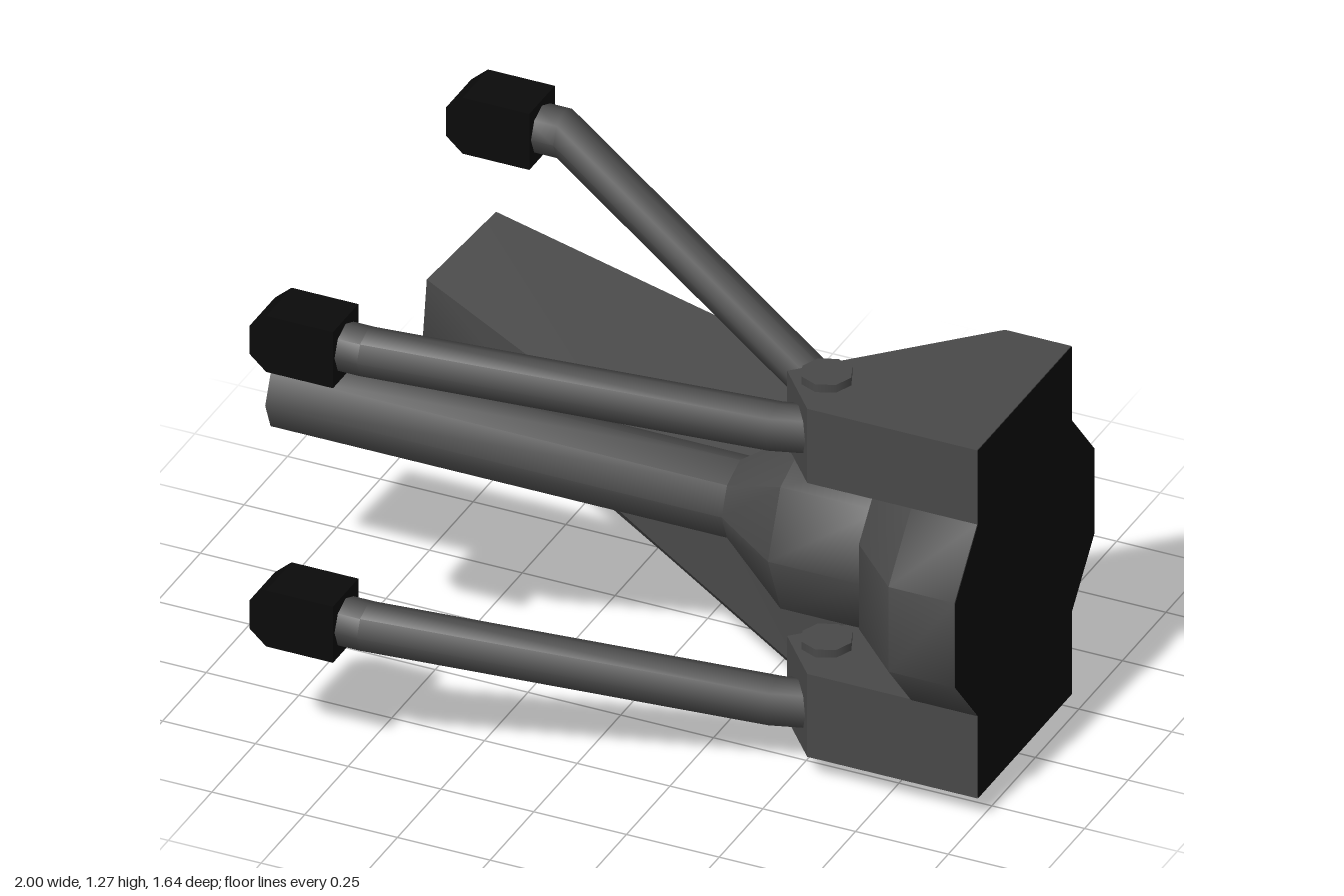
import * as THREE from 'three';
import { toCreasedNormals } from 'three/addons/utils/BufferGeometryUtils.js';

const bodyMat = new THREE.MeshStandardMaterial({ color: 0x484848 });
const darkMat = new THREE.MeshStandardMaterial({ color: 0x0a0a0a });

function add(group, name, geometry, material = bodyMat) {
  const mesh = new THREE.Mesh(geometry, material);
  mesh.name = name;
  group.add(mesh);
  return mesh;
}

// Skin a closed solid through rings of [x, y, z] points, creased above the given angle
function loft(rings, crease) {
  const n = rings[0].length, last = (rings.length - 1) * n, index = [];
  for (let i = 0; i < rings.length - 1; i++) {
    for (let j = 0; j < n; j++) {
      const a = i * n + j, b = i * n + (j + 1) % n;
      index.push(a, b, b + n, a, b + n, a + n);
    }
  }
  for (let j = 1; j < n - 1; j++) {
    index.push(0, j + 1, j, last, last + j, last + j + 1);
  }
  const g = new THREE.BufferGeometry();
  g.setAttribute('position', new THREE.Float32BufferAttribute(rings.flat(2), 3));
  g.setIndex(index);
  return toCreasedNormals(g, crease);
}

// Bent octagonal rod with a dark chamfered tip
function arm(name, path) {
  const group = new THREE.Group();
  group.name = name;
  const r = 0.064;
  const rings = path.map(([x, y, z]) => Array.from({ length: 8 }, (_, k) => {
    const t = k * Math.PI / 4;
    return [x, y + r * Math.sin(t), z - r * Math.cos(t)];
  }));
  add(group, name + 'Rod', loft(rings, 0.9));

  const [, y, z] = path[0];
  const s = new THREE.Shape([
    [-0.51, -0.08], [-0.51, 0.08], [-0.69, 0.08], [-0.735, 0.04], [-0.735, -0.04], [-0.69, -0.08],
  ].map(([px, py]) => new THREE.Vector2(px, py)));
  const tip = new THREE.ExtrudeGeometry(s, { depth: 0.146, bevelEnabled: false });
  tip.translate(0, y, z - 0.073);
  add(group, name + 'Tip', tip, darkMat);
  return group;
}

export function createModel() {
  const model = new THREE.Group();

  // Core housing, narrower at its top and bottom
  const ring = (y, e) => [
    [0.998, y, -0.21 - e], [0.82, y, -0.21 - e], [0.67, y, -0.06 - e],
    [0.67, y, 0.18 + e], [0.82, y, 0.33 + e], [0.998, y, 0.33 + e],
  ];
  add(model, 'coreHousing',
    loft([ring(0.3, 0), ring(0.453, 0.13), ring(0.695, 0.13), ring(0.848, 0)], 0.9));

  // Upper and lower hinge blocks with round pins
  const plan = [[0.998, -0.21], [0.82, -0.21], [0.42, 0.19], [0.54, 0.33], [0.998, 0.33]];
  for (const [name, y0, y1] of [['upper', 0.848, 1.06], ['lower', 0.065, 0.302]]) {
    add(model, name + 'HingeBlock', loft([y0, y1].map(y => plan.map(([x, z]) => [x, y, z])), 0.3));
    const pin = add(model, name + 'Pin', new THREE.CylinderGeometry(0.066, 0.066, 0.06, 8));
    pin.position.set(0.525, y1 - 0.008, 0.185);
  }

  // Dark flat mounting face
  const face = new THREE.Shape([
    [0.33, 0.065], [0.33, 0.3], [0.46, 0.453], [0.46, 0.695], [0.33, 0.848], [0.33, 1.06],
    [-0.21, 1.06], [-0.21, 0.848], [-0.34, 0.695], [-0.34, 0.453], [-0.21, 0.3], [-0.21, 0.065],
  ].map(([z, y]) => new THREE.Vector2(-z, y)));
  const faceMesh = add(model, 'mountingFace', new THREE.ShapeGeometry(face), darkMat);
  faceMesh.rotation.y = Math.PI / 2;
  faceMesh.position.x = 1;

  // Central shaft with flared hub
  const profile = [[0, -1], [0.106, -1], [0.106, 0.23], [0.245, 0.42], [0.245, 0.69]]
    .map(([r, x]) => new THREE.Vector2(r, x));
  const shaft = new THREE.LatheGeometry(profile, 8);
  shaft.rotateZ(-Math.PI / 2);
  add(model, 'centralShaft', toCreasedNormals(shaft, 0.9)).position.set(0, 0.575, 0.055);

  // Two upper arms and one lower arm
  const frontPath = [[-0.53, 1.195, 0.743], [-0.45, 1.195, 0.743], [0.44, 0.965, 0.295], [0.53, 0.955, 0.25]];
  const backPath = [[-0.53, 1.195, -0.385], [-0.45, 1.195, -0.385], [0.44, 0.965, 0.07], [0.53, 0.955, 0.11]];
  model.add(arm('upperFrontArm', frontPath));
  model.add(arm('upperBackArm', backPath));
  model.add(arm('lowerFrontArm', frontPath.map(([x, y, z]) => [x, y - 0.785, z])));

  // Broad curved arm: sections from tip to root, widest in the middle
  const sections = [
    [[-0.83, 0.43, -0.82], [-0.81, 0.67, -0.76], [-0.87, 0.61, -0.49], [-0.885, 0.44, -0.5], [-0.905, 0.37, -0.555]],
    [[0.03, 0.27, -0.72], [0.03, 0.53, -0.68], [-0.1, 0.445, -0.22], [-0.13, 0.21, -0.21], [-0.14, 0.16, -0.26]],
    [[0.48, 0.165, -0.6], [0.5, 0.43, -0.57], [0.34, 0.31, 0], [0.33, 0.11, 0], [0.32, 0.06, -0.05]],
    [[0.81, 0.03, -0.29], [0.8, 0.27, -0.24], [0.83, 0.25, -0.1], [0.83, 0.05, -0.1], [0.79, 0, -0.18]],
  ];
  add(model, 'broadCurvedArm', loft(sections, 0.6));

  return model;
}
